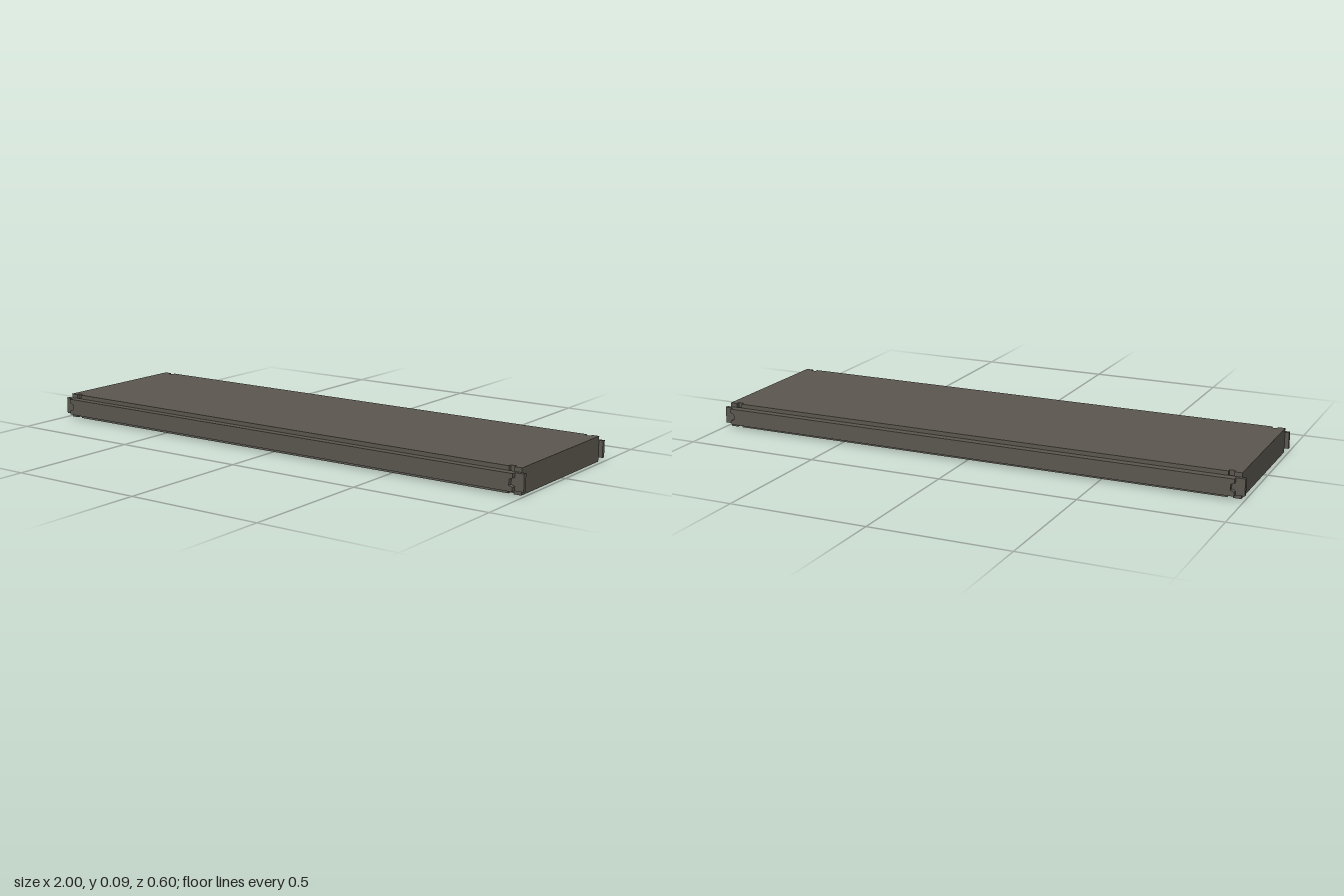
import * as THREE from 'three';

const H = 0.09; // slab height

export function createModel() {
  const group = new THREE.Group();
  const grey = new THREE.MeshStandardMaterial({ color: 0x5c5850 });
  grey.name = 'warm grey';

  const add = (geometry, name) => {
    const mesh = new THREE.Mesh(geometry, grey);
    mesh.name = name;
    group.add(mesh);
    return mesh;
  };
  const extrude = (points, depth) => new THREE.ExtrudeGeometry(
    new THREE.Shape(points.map(([x, y]) => new THREE.Vector2(x, y))),
    { depth, bevelEnabled: false });

  // Slab outline in plan, with a small slot near each corner
  const X = 0.985, Z = 0.272, slotIn = 0.938, slotOut = 0.958, slotZ = 0.258;
  const edge = [[X, Z], [slotOut, Z], [slotOut, slotZ], [slotIn, slotZ], [slotIn, Z]];
  const mirrorX = (pts) => pts.map(([x, z]) => [-x, z]).reverse();
  const half = [...edge, ...mirrorX(edge)];
  const outline = [...half, ...half.map(([x, z]) => [-x, -z])];
  const slab = extrude(outline, H);
  slab.rotateX(-Math.PI / 2);
  add(slab, 'slab');

  // Rail outline seen from the side, with a notch in each end
  const end = [[0.968, 0.015], [0.968, 0.03], [0.955, 0.035],
    [0.955, 0.055], [0.968, 0.06], [0.968, 0.075]];
  const railOutline = [...end, ...mirrorX(end)];

  for (const s of [1, -1]) {
    const side = s > 0 ? 'front' : 'back';
    const rail = extrude(railOutline, 0.031);
    rail.translate(0, 0, s > 0 ? 0.27 : -0.301);
    add(rail, side + 'Rail');

    // Thin locking tabs behind the rail ends
    for (const e of [1, -1]) {
      const tab = add(new THREE.BoxGeometry(0.06, 0.06, 0.014), side + (e > 0 ? 'Left' : 'Right') + 'Tab');
      tab.position.set(e * 0.97, 0.045, s * 0.278);
    }
  }
  return group;
}
